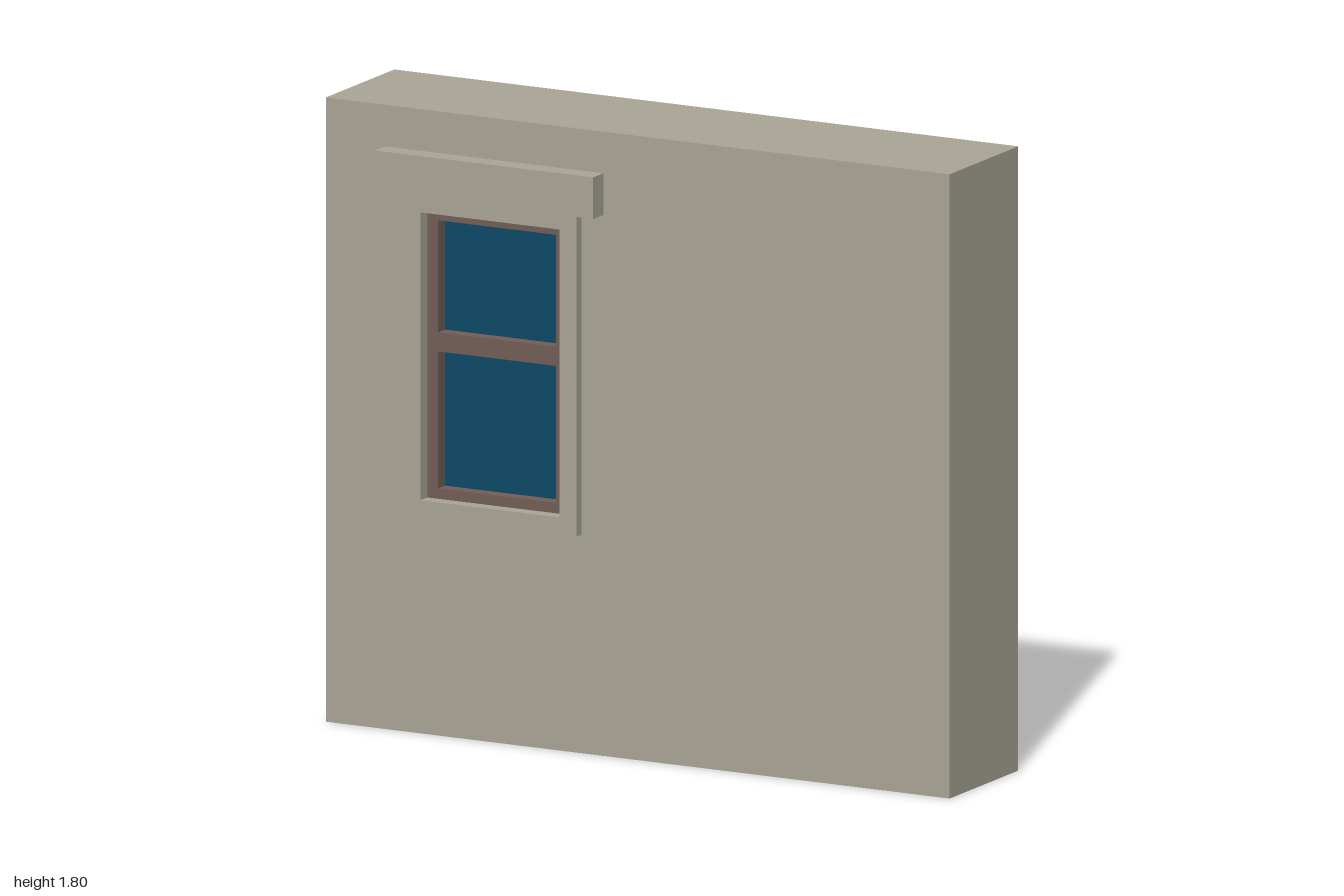
import * as THREE from 'three';

const stone = new THREE.MeshStandardMaterial({ color: 0xaaa696 });
stone.name = 'stone';
const wood = new THREE.MeshStandardMaterial({ color: 0x725f56 });
wood.name = 'brown wood';
const glass = new THREE.MeshStandardMaterial({ color: 0x0d4a67 });
glass.name = 'blue glass';

// Rectangle outline, as a shape or as a hole
function rect(x0, y0, x1, y1, Type = THREE.Shape) {
  const r = new Type();
  r.moveTo(x0, y0);
  r.lineTo(x1, y0);
  r.lineTo(x1, y1);
  r.lineTo(x0, y1);
  r.closePath();
  return r;
}

// Rectangular plate with rectangular holes
function plate(outer, holes) {
  const s = rect(...outer);
  for (const h of holes) s.holes.push(rect(...h, THREE.Path));
  return s;
}

function extrude(shape, z0, z1) {
  return new THREE.ExtrudeGeometry(shape, { depth: z1 - z0, bevelEnabled: false }).translate(0, 0, z0);
}

function box(x0, y0, z0, x1, y1, z1) {
  return new THREE.BoxGeometry(x1 - x0, y1 - y0, z1 - z0)
    .translate((x0 + x1) / 2, (y0 + y1) / 2, (z0 + z1) / 2);
}

export function createModel() {
  const group = new THREE.Group();
  const add = (name, geometry, material, parent = group) => {
    const mesh = new THREE.Mesh(geometry, material);
    mesh.name = name;
    parent.add(mesh);
  };

  const back = -0.23, front = 0.17, glassZ = 0.12, sashZ = 0.16, casingZ = 0.2;
  const opening = [-0.68, 0.68, -0.235, 1.51];
  const panes = [[-0.645, 0.71, -0.267, 1.105], [-0.645, 1.16, -0.267, 1.483]];

  // Wall block without its front face, which is replaced by a face with an opening
  const wall = box(-1, 0, back, 1, 1.8, front);
  const index = Array.from(wall.index.array);
  index.splice(24, 6);
  wall.setIndex(index);
  wall.clearGroups();
  add('wall', wall, stone);
  add('wallFront', new THREE.ShapeGeometry(plate([-1, 0, 1, 1.8], [opening])).translate(0, 0, front), stone);

  // Window: casing that also lines the recess, lintel, sash and panes
  const window = new THREE.Group();
  window.name = 'window';
  group.add(window);
  add('casing', extrude(plate([-0.73, 0.63, -0.18, 1.56], [opening]), glassZ, casingZ), stone, window);
  add('lintel', box(-0.81, 1.56, front, -0.11, 1.68, 0.23), stone, window);
  add('sash', extrude(plate(opening, panes), glassZ, sashZ), wood, window);
  for (const [x0, y0, x1, y1] of panes) {
    add('pane', box(x0, y0, glassZ - 0.008, x1, y1, glassZ), glass, window);
  }

  return group;
}
